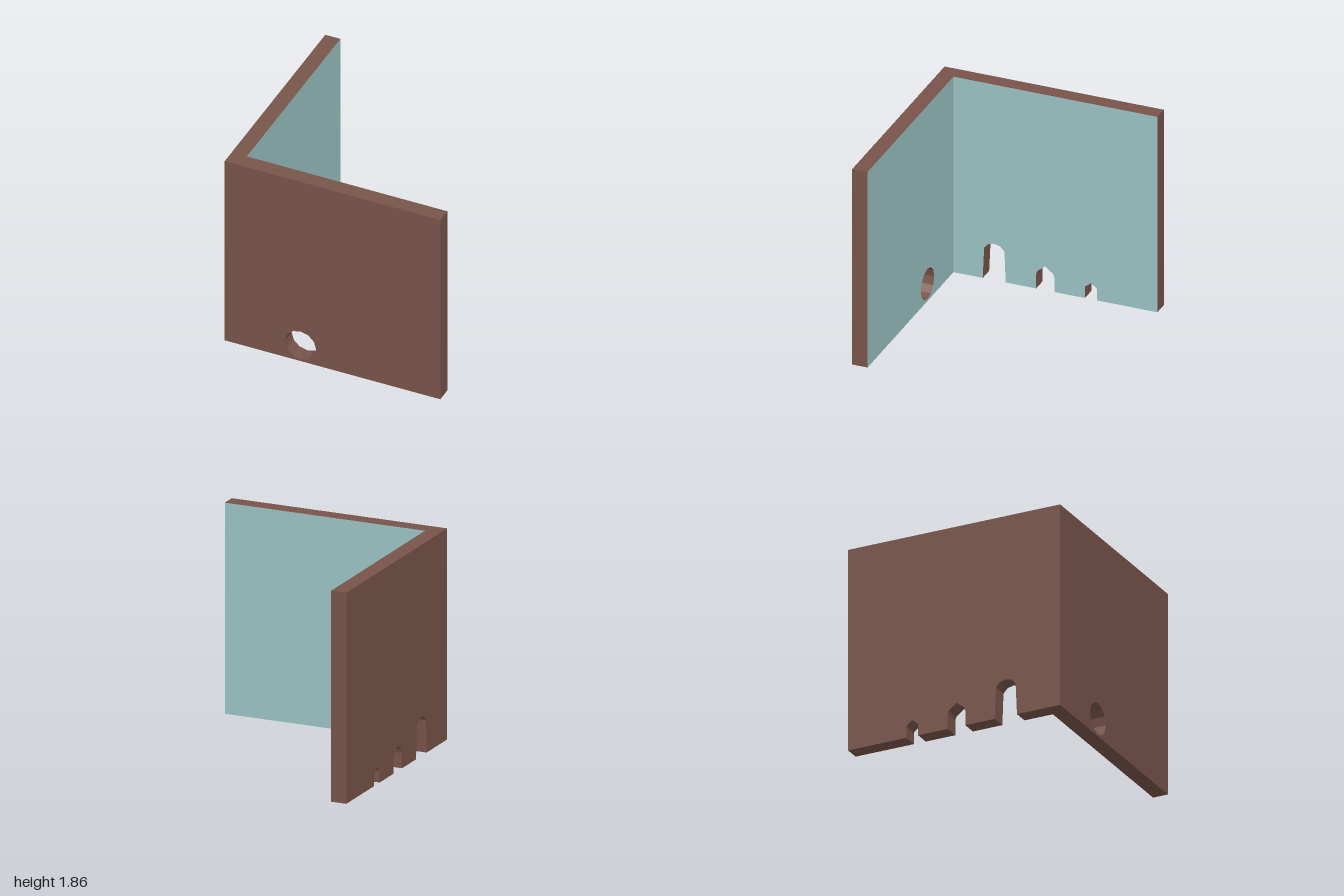
import * as THREE from 'three';

const H = 1.86, T = 0.14;

const brown = new THREE.MeshStandardMaterial({ color: 0x78544a });
brown.name = 'brown';
const paleTeal = new THREE.MeshStandardMaterial({ color: 0x9bc2c2 });
paleTeal.name = 'pale teal';

// Wall slab with a teal inner face and a mitred end at the shared corner (x = corner)
function makeWall(name, shape, corner) {
  const geo = new THREE.ExtrudeGeometry(shape, { depth: T, bevelEnabled: false });
  geo.translate(0, 0, 1 - T);

  const pos = geo.attributes.position;
  for (let i = 0; i < pos.count; i++) {
    const atCorner = Math.abs(pos.getX(i) - corner) < 1e-4;
    if (atCorner && pos.getZ(i) < 1 - T / 2) pos.setX(i, corner * (1 - T));
  }
  geo.computeVertexNormals();

  // The first half of the cap triangles is the inner face
  const inner = geo.groups[0].count / 2;
  geo.clearGroups();
  geo.addGroup(0, inner, 1);
  geo.addGroup(inner, pos.count - inner, 0);

  const mesh = new THREE.Mesh(geo, [brown, paleTeal]);
  mesh.name = name;
  return mesh;
}

const points = (list) => list.map(([x, y]) => new THREE.Vector2(x, y));

export function createModel() {
  const model = new THREE.Group();
  model.name = 'cornerWalls';

  // Front wall with a twelve-sided round hole
  const front = new THREE.Shape(points([[-1, 0], [1, 0], [1, H], [-1, H]]));
  const ring = [];
  for (let i = 0; i < 12; i++) {
    const a = -i * Math.PI / 6;
    ring.push([-0.298 + 0.146 * Math.cos(a), 0.163 + 0.144 * Math.sin(a)]);
  }
  front.holes.push(new THREE.Path(points(ring)));
  model.add(makeWall('frontWall', front, -1));

  // Side wall with three arched doorways cut into its foot, small to large
  const smallDoor = [[-0.451, 0], [-0.451, 0.1], [-0.443, 0.117], [-0.395, 0.152], [-0.343, 0.112], [-0.339, 0.1], [-0.339, 0]];
  const middleDoor = [[-0.06, 0], [-0.06, 0.135], [-0.05, 0.168], [0.023, 0.227], [0.094, 0.168], [0.106, 0.135], [0.106, 0]];
  const largeDoor = [[0.384, 0], [0.395, 0.29], [0.435, 0.333], [0.49, 0.345], [0.542, 0.333], [0.58, 0.29], [0.593, 0]];
  const side = new THREE.Shape(points([
    [-1, 0], ...smallDoor, ...middleDoor, ...largeDoor, [1, 0], [1, H], [-1, H],
  ]));
  const sideWall = makeWall('sideWall', side, 1);
  sideWall.rotation.y = -Math.PI / 2;
  model.add(sideWall);

  return model;
}
